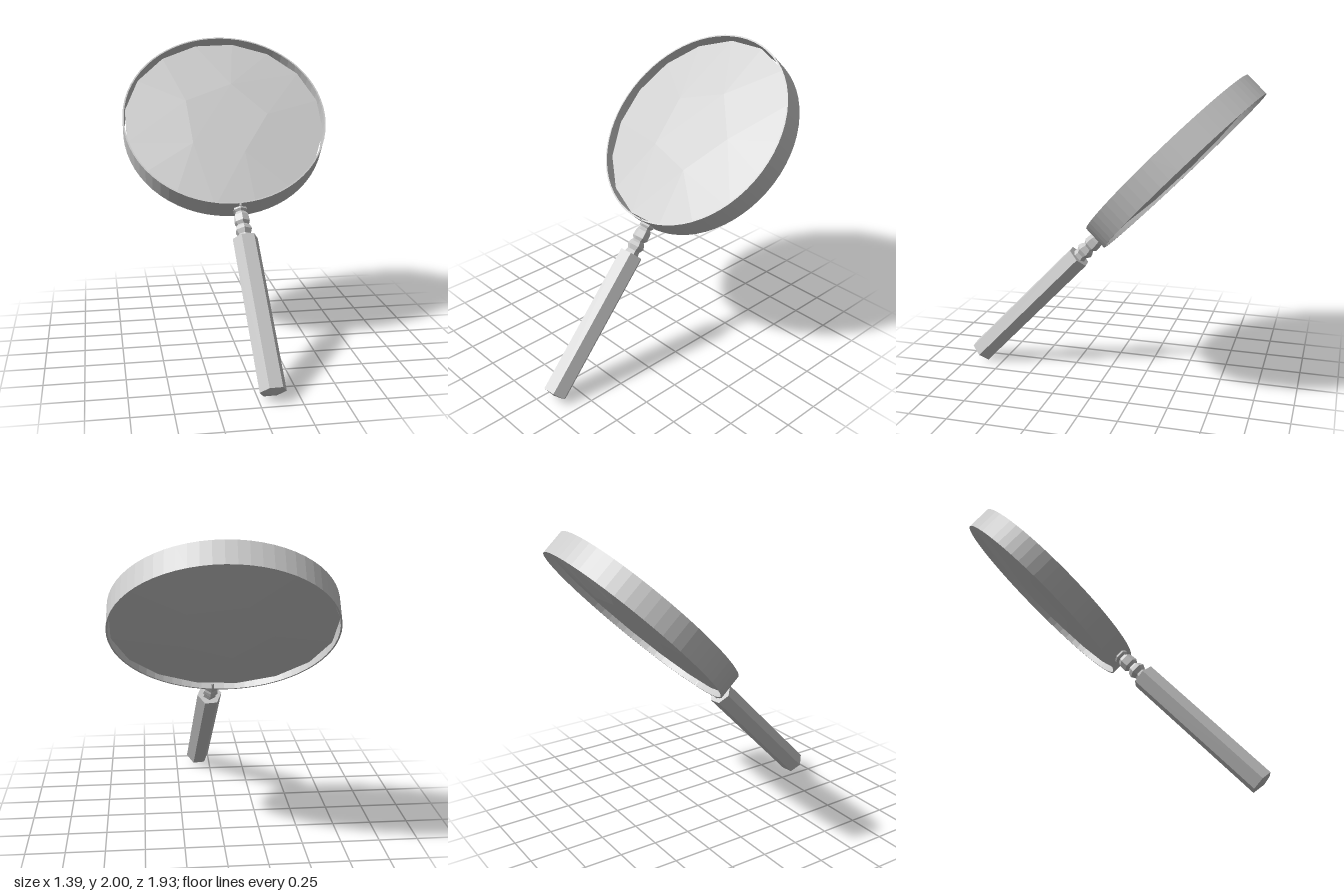
import * as THREE from 'three';
import { ConvexGeometry } from 'three/addons/geometries/ConvexGeometry.js';

const material = new THREE.MeshStandardMaterial({
  color: 0xcccccc, flatShading: true, side: THREE.DoubleSide,
});

const profile = (pairs) => pairs.map(([r, y]) => new THREE.Vector2(r, y));

export function createModel() {
  const model = new THREE.Group();
  model.name = 'magnifyingGlass';

  const add = (name, geometry) => {
    const mesh = new THREE.Mesh(geometry, material);
    mesh.name = name;
    model.add(mesh);
  };

  // Local frame: origin at the lens centre, handle along -y, lens faces +z.

  // Thin hoop, split by a narrow slit where the neck enters
  const slit = 0.012;
  const hoop = new THREE.LatheGeometry(
    profile([[0.685, -0.081], [0.695, -0.081], [0.695, 0.081], [0.685, 0.081], [0.685, -0.081]]),
    64, slit, Math.PI * 2 - slit * 2);
  hoop.rotateX(Math.PI / 2);
  add('rim', hoop);

  // Thick faceted lens: 16-sided edge, domed by a few raised points per side
  const points = [];
  const ring = (count, radius, z, phase) => {
    for (let i = 0; i < count; i++) {
      const a = phase + (i / count) * Math.PI * 2;
      points.push(new THREE.Vector3(radius * Math.sin(a), radius * Math.cos(a), z));
    }
  };
  ring(16, 0.686, 0.02, -0.16);
  ring(16, 0.686, -0.042, -0.16);
  ring(5, 0.3, 0.055, 0.3);
  ring(5, 0.3, -0.077, 0.9);
  add('lens', new ConvexGeometry(points));

  // Turned neck with a collar and a bead
  add('neck', new THREE.LatheGeometry(profile([
    [0, -0.915], [0.048, -0.912], [0.042, -0.885], [0.058, -0.855], [0.05, -0.83],
    [0.038, -0.815], [0.054, -0.795], [0.05, -0.745], [0.036, -0.722],
    [0.05, -0.708], [0.046, -0.692], [0, -0.69],
  ]), 6));

  // Six-sided handle with a barely pointed butt
  const handle = new THREE.LatheGeometry(
    profile([[0, -1.945], [0.083, -1.927], [0.083, -0.912], [0, -0.912]]),
    6, THREE.MathUtils.degToRad(38));
  add('handle', handle);

  // Lean the whole glass back, with the handle drifting a little to its left
  const up = new THREE.Vector3(-0.045, 0.73, -0.7).normalize();
  const normal = new THREE.Vector3(-0.04, 0.69, 0.72);
  const side = new THREE.Vector3().crossVectors(up, normal).normalize();
  normal.crossVectors(side, up);
  model.quaternion.setFromRotationMatrix(new THREE.Matrix4().makeBasis(side, up, normal));
  model.position.set(0, 1.445, -0.42);

  const root = new THREE.Group();
  root.add(model);
  return root;
}
